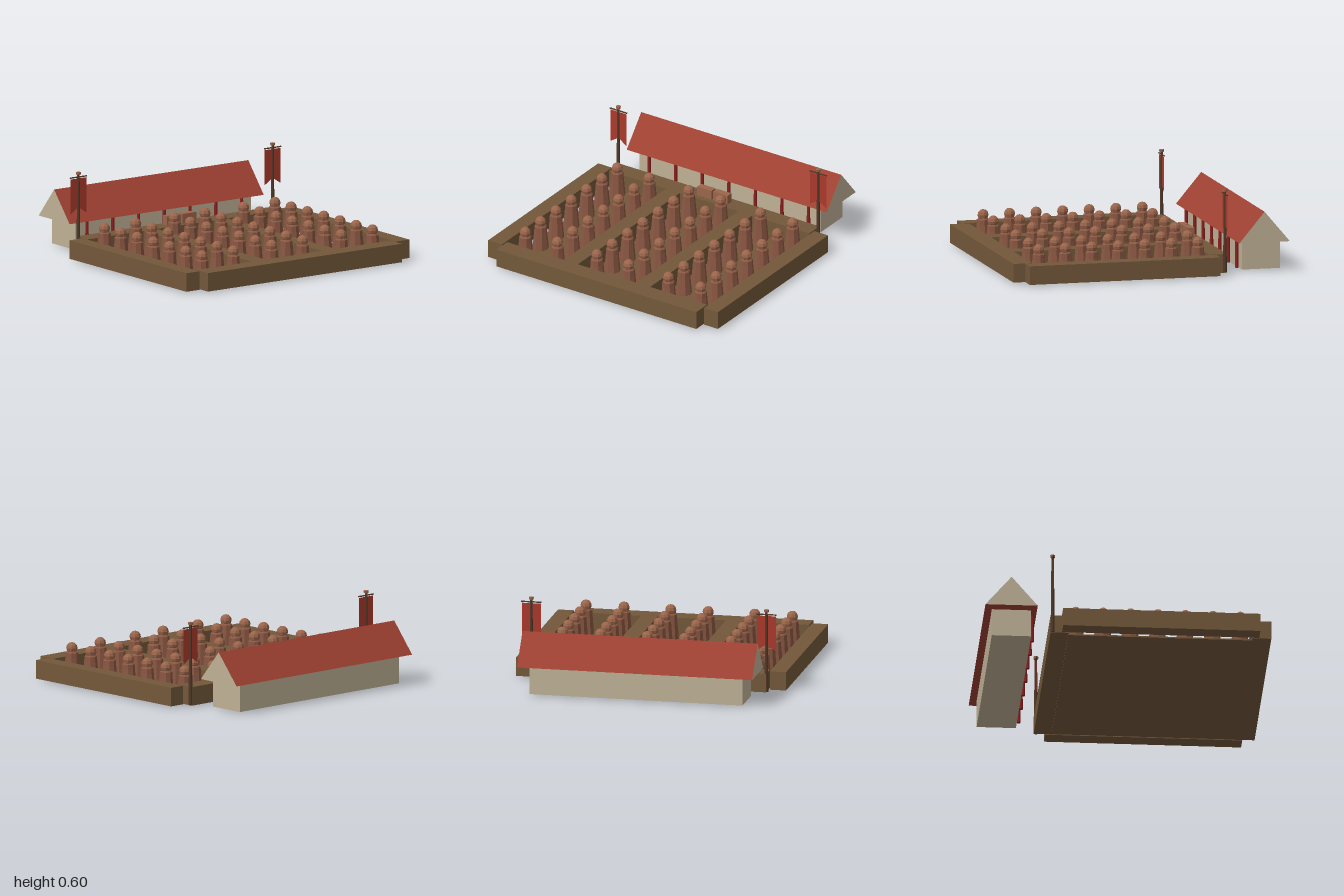
import * as THREE from 'three';

const mat = (name, color, opts = {}) => {
  const m = new THREE.MeshStandardMaterial({ color, ...opts });
  m.name = name;
  return m;
};

export function createModel() {
  const soil = mat('earth', 0x73583a);
  const clay = mat('terracotta', 0x9b654b, { flatShading: true });
  const robeClay = mat('dark terracotta', 0x8a5742, { flatShading: true });
  const roofRed = mat('roof red', 0x9f4132, { side: THREE.DoubleSide });
  const bannerRed = mat('banner red', 0xab392b, { side: THREE.DoubleSide });
  const columnRed = mat('column red', 0x8e2020);
  const plaster = mat('plaster', 0xbfb196);
  const wood = mat('dark wood', 0x523a29);

  const model = new THREE.Group();
  const add = (parent, name, geo, material, x = 0, y = 0, z = 0) => {
    const m = new THREE.Mesh(geo, material);
    m.name = name;
    m.position.set(x, y, z);
    parent.add(m);
    return m;
  };
  // Box given by its limits on each axis
  const block = (parent, name, material, [x0, x1], [y0, y1], [z0, z1]) =>
    add(parent, name, new THREE.BoxGeometry(x1 - x0, y1 - y0, z1 - z0), material,
      (x0 + x1) / 2, (y0 + y1) / 2, (z0 + z1) / 2);

  // Pit floor, surrounding walls and the two ridges between trenches
  const pit = new THREE.Group();
  pit.name = 'pit';
  model.add(pit);
  const wallY = [0.008, 0.14];
  block(pit, 'pitFloor', soil, [-0.82, 0.82], [0, 0.01], [-0.42, 0.87]);
  block(pit, 'frontWall', soil, [-0.84, 0.84], wallY, [0.865, 1]);
  block(pit, 'backWall', soil, [-0.84, 0.84], wallY, [-0.545, -0.415]);
  block(pit, 'leftWall', soil, [0.85, 0.965], wallY, [-0.465, 0.915]);
  block(pit, 'rightWall', soil, [-0.965, -0.85], wallY, [-0.465, 0.915]);
  block(pit, 'leftRidge', soil, [0.245, 0.362], wallY, [-0.415, 0.865]);
  block(pit, 'rightRidge', soil, [-0.362, -0.245], wallY, [-0.415, 0.865]);

  // Two clay blocks on the back wall
  for (const s of [-1, 1])
    block(model, 'clayBlock', clay, s < 0 ? [-0.127, -0.007] : [0.007, 0.127], [0.14, 0.208], [-0.505, -0.455]);

  // Rows of statues: flared robe, shoulders and faceted head
  const robeGeo = new THREE.LatheGeometry(
    [[0, 0], [0.058, 0], [0.046, 0.135], [0.044, 0.172], [0.032, 0.182], [0, 0.182]]
      .map(([r, y]) => new THREE.Vector2(r, y)), 8);
  const headGeo = new THREE.SphereGeometry(0.04, 8, 6);
  const statues = new THREE.Group();
  statues.name = 'statues';
  model.add(statues);
  for (const x of [-0.737, -0.468, -0.135, 0.132, 0.466, 0.737]) {
    for (let row = 0; row < 7; row++) {
      const statue = new THREE.Group();
      statue.name = 'statue';
      statue.position.set(x, 0.01, -0.362 + row * 0.192);
      add(statue, 'robe', robeGeo, robeClay);
      add(statue, 'head', headGeo, clay, 0, 0.205, 0);
      statues.add(statue);
    }
  }

  // Hall behind the pit
  const hall = new THREE.Group();
  hall.name = 'hall';
  model.add(hall);
  block(hall, 'hallWalls', plaster, [-0.76, 0.76], [0.01, 0.21], [-0.95, -0.675]);

  // Gabled roof prism: plaster ends, red slopes and underside
  const gable = new THREE.Shape([
    new THREE.Vector2(-0.183, 0), new THREE.Vector2(0.183, 0), new THREE.Vector2(0, 0.217)]);
  const roofGeo = new THREE.ExtrudeGeometry(gable, { depth: 1.68, bevelEnabled: false });
  roofGeo.translate(0, 0, -0.84).rotateY(Math.PI / 2);
  add(hall, 'roof', roofGeo, [plaster, roofRed], 0, 0.21, -0.817);

  // Row of slender columns along the hall front
  const columnGeo = new THREE.CylinderGeometry(0.011, 0.014, 0.2, 8);
  for (let i = 0; i < 7; i++)
    add(hall, 'column', columnGeo, columnRed, -0.669 + i * 0.223, 0.11, -0.662);

  // Banners at the back corners, with swallowtail cloth
  const cloth = new THREE.ShapeGeometry(new THREE.Shape(
    [[-0.068, 0.555], [-0.068, 0.305], [0, 0.35], [0.068, 0.305], [0.068, 0.555]]
      .map(([x, y]) => new THREE.Vector2(x, y))));
  for (const s of [-1, 1]) {
    const banner = new THREE.Group();
    banner.name = s > 0 ? 'leftBanner' : 'rightBanner';
    banner.position.set(s * 0.84, 0, -0.53);
    add(banner, 'pole', new THREE.CylinderGeometry(0.009, 0.014, 0.575, 8), wood, 0, 0.2975, 0);
    add(banner, 'finial', new THREE.CylinderGeometry(0.018, 0.016, 0.017, 8), clay, 0, 0.591, 0);
    add(banner, 'crossbar', new THREE.CylinderGeometry(0.005, 0.005, 0.145, 6), wood, 0, 0.565, 0)
      .rotation.z = Math.PI / 2;
    add(banner, 'cloth', cloth, bannerRed);
    model.add(banner);
  }

  return model;
}
